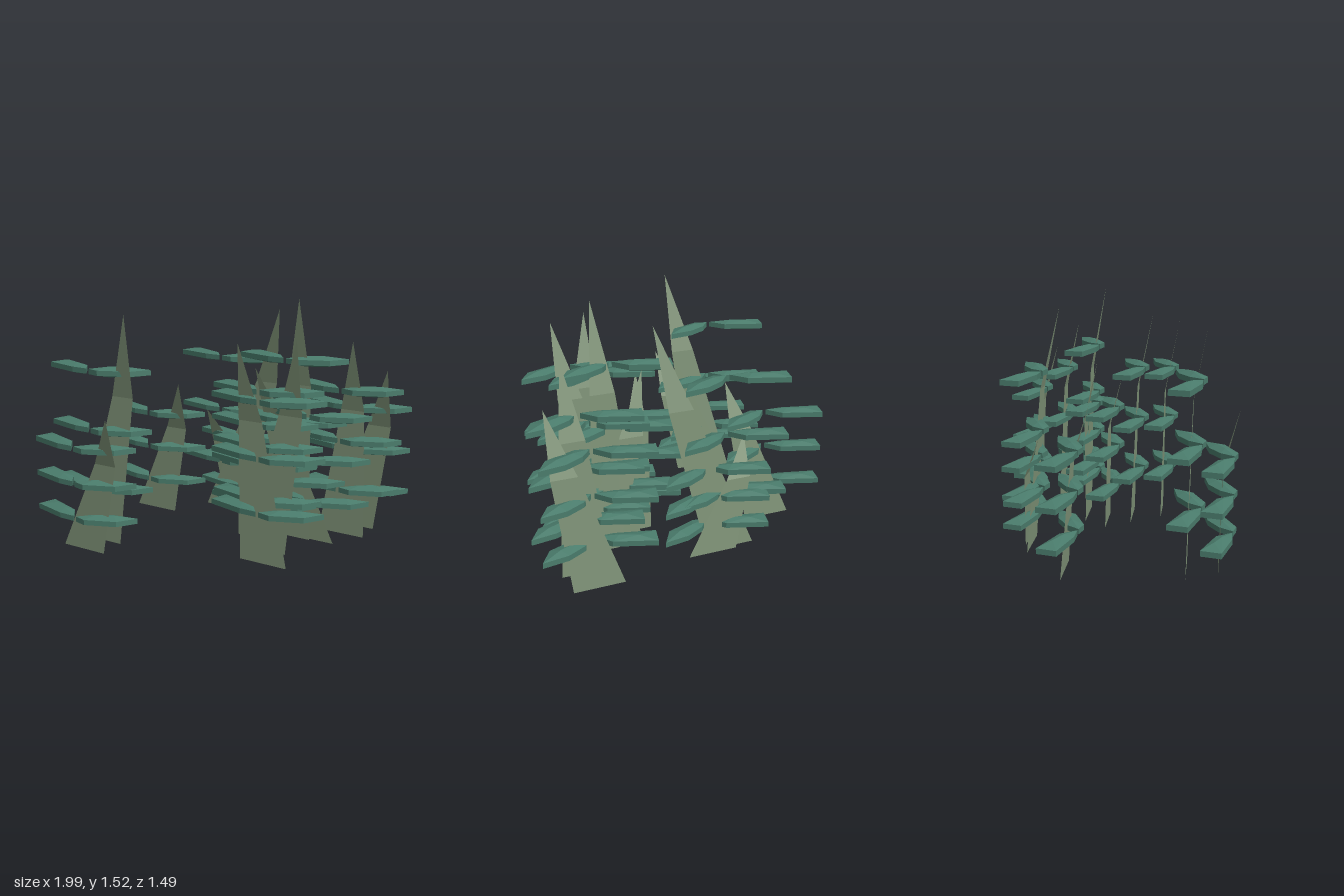
import * as THREE from 'three';
import { ConvexGeometry } from 'three/addons/geometries/ConvexGeometry.js';

const stemMaterial = new THREE.MeshStandardMaterial({ color: 0x82967a, flatShading: true, side: THREE.DoubleSide });
const leafMaterial = new THREE.MeshStandardMaterial({ color: 0x4a7c6c, flatShading: true });

// Plants: base x, base z, height, sideways lean of the tip
const plants = [
  [-0.653, -0.24, 0.92, 0.27],
  [-0.25, -0.51, 1.42, 0.46],
  [-0.12, -0.545, 0.7, -0.24],
  [0.635, -0.645, 1.075, 0.255],
  [0.645, -0.465, 1.265, 0.09],
  [0.53, -0.265, 1.08, -0.35],
  [0.375, -0.245, 1.525, 0.108],
  [0.255, -0.1, 1.01, -0.1],
  [0.365, 0.055, 1.335, 0.265],
  [0.475, 0.245, 1.32, -0.115],
  [-0.583, 0.45, 1.455, 0.31],
  [-0.567, 0.63, 0.875, 0.287],
];

// Thin tapering blade, kinked forward at about two thirds of its height
function stemGeometry(height, lean) {
  const base = 0.155, mid = 0.077, y = height * 0.65, x = lean * 0.7;
  const geometry = new THREE.BufferGeometry();
  geometry.setAttribute('position', new THREE.Float32BufferAttribute([
    -base, 0, 0, base, 0, 0, x + mid, y, 0.02, x - mid, y, 0.02, lean, height, 0.11,
  ], 3));
  geometry.setIndex([0, 1, 2, 0, 2, 3, 3, 2, 4]);
  const flat = geometry.toNonIndexed();
  flat.computeVertexNormals();
  return flat;
}

// Faceted leaf: upright rim around an x/z outline, with a low ridge above and below
function leafGeometry(outline, ridge) {
  const points = [];
  for (const side of [-1, 1]) {
    for (const [x, z] of outline) points.push(new THREE.Vector3(x, side * 0.016, z));
    for (const [x, z] of ridge) points.push(new THREE.Vector3(x, side * 0.033, z));
  }
  return new ConvexGeometry(points);
}

const leftwardLeaf = leafGeometry(
  [[-0.14, -0.1], [-0.17, 0.015], [0.06, 0.075], [0.17, 0.078], [0.1, -0.015]],
  [[-0.05, -0.025], [0.05, 0.02]]);
const rightwardLeaf = leafGeometry(
  [[0.17, -0.09], [0.015, -0.065], [-0.1, 0], [-0.165, 0.08], [-0.085, 0.1], [0.1, 0.025]],
  [[0.05, -0.02], [-0.05, 0.025]]);

export function createModel() {
  const model = new THREE.Group();
  model.name = 'plantCluster';
  plants.forEach(([x, z, height, lean], i) => {
    const plant = new THREE.Group();
    plant.name = `plant${i + 1}`;
    plant.position.set(x, 0, z);

    const stem = new THREE.Mesh(stemGeometry(height, lean), stemMaterial);
    stem.name = 'stem';
    plant.add(stem);

    // Three pairs of leaves at even heights
    for (let level = 1; level <= 3; level++) {
      for (const side of [-1, 1]) {
        const leaf = new THREE.Mesh(side < 0 ? leftwardLeaf : rightwardLeaf, leafMaterial);
        leaf.name = side < 0 ? 'rightLeaf' : 'leftLeaf';
        leaf.position.set(side * 0.177, height * level / 4, 0);
        plant.add(leaf);
      }
    }
    model.add(plant);
  });
  return model;
}
